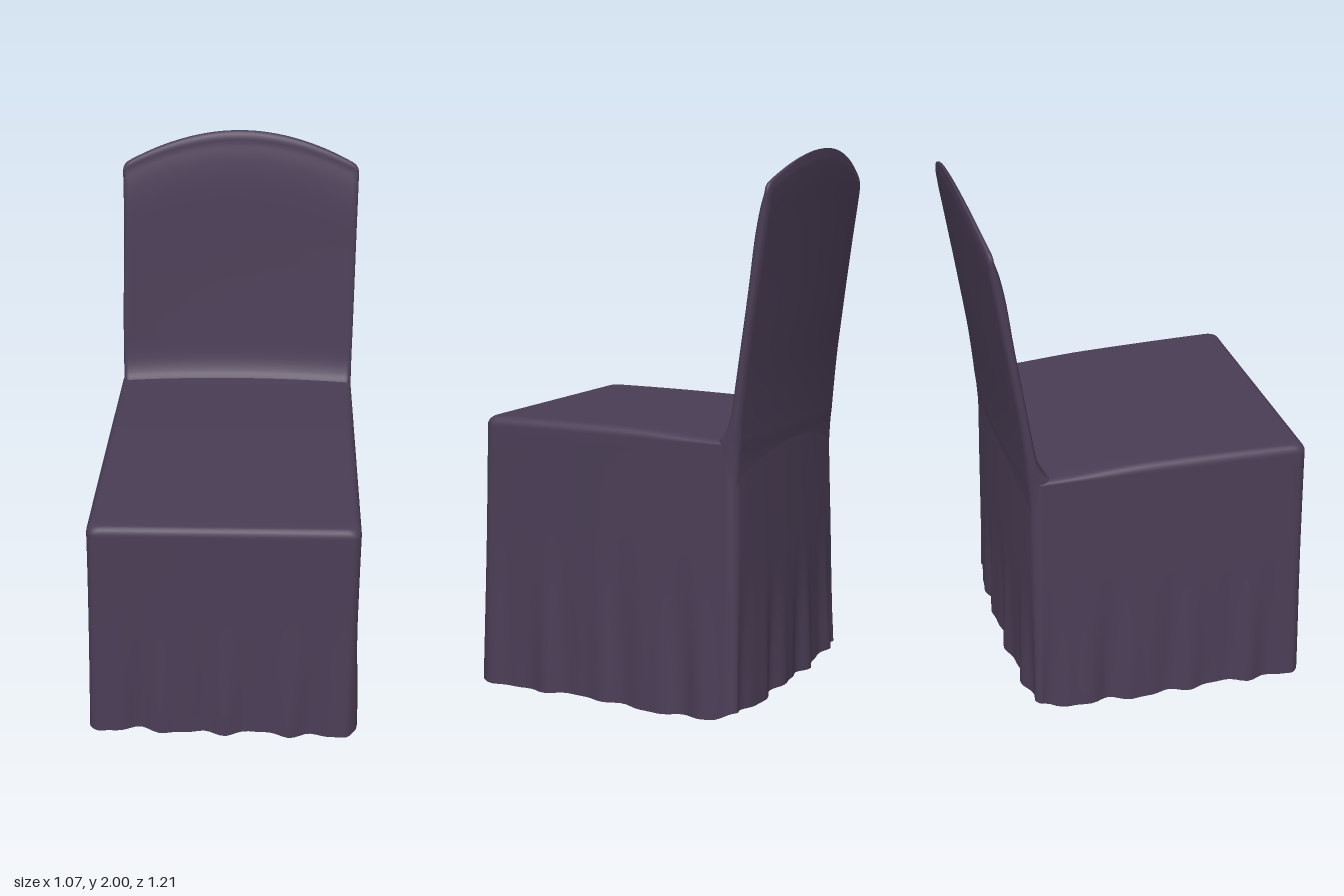
import * as THREE from 'three';

const smooth = THREE.MathUtils.smoothstep;
const lerp = THREE.MathUtils.lerp;

// Points (s, t) around a square of half-size 1 with elliptical corners, from +s towards +t
function roundedSquare(rs, rt, sideSteps, arcSteps) {
  const pts = [];
  const corners = [[1, 1], [-1, 1], [-1, -1], [1, -1]];
  corners.forEach(([cs, ct], k) => {
    for (let i = 0; i <= arcSteps; i++) {
      const a = (k + i / arcSteps) * Math.PI / 2;
      pts.push([cs * (1 - rs) + rs * Math.cos(a), ct * (1 - rt) + rt * Math.sin(a)]);
    }
    const [ns, nt] = corners[(k + 1) % 4];
    const from = pts[pts.length - 1];
    const a = (k + 1) * Math.PI / 2;
    const to = [ns * (1 - rs) + rs * Math.cos(a), nt * (1 - rt) + rt * Math.sin(a)];
    for (let i = 1; i < sideSteps; i++) {
      pts.push([lerp(from[0], to[0], i / sideSteps), lerp(from[1], to[1], i / sideSteps)]);
    }
  });
  return pts;
}

// Smooth skin over closed rings with the same number of points
function loft(rings) {
  const n = rings[0].length, index = [];
  for (let i = 0; i < rings.length - 1; i++) {
    for (let j = 0; j < n; j++) {
      const a = i * n + j, b = i * n + (j + 1) % n;
      index.push(a, a + n, b, b, a + n, b + n);
    }
  }
  const geo = new THREE.BufferGeometry();
  geo.setAttribute('position', new THREE.Float32BufferAttribute(rings.flat(2), 3));
  geo.setIndex(index);
  geo.computeVertexNormals();
  return geo;
}

// Point of the draped box: tapered plan, flared and pleated towards the hem
function drape(s, t, y, inset = 0) {
  const k = Math.pow(Math.max(0, 1 - y), 1.15);
  const front = (t + 1) / 2, side = (s + 1) / 2;
  const xMin = lerp(lerp(-0.425, -0.465, k), lerp(-0.495, -0.532, k), front) + inset;
  const xMax = lerp(lerp(0.488, 0.522, k), lerp(0.488, 0.503, k), front) - inset;
  const zMin = lerp(-0.45, -0.475, k) - lerp(0.033, 0.022, k) * (1 - s * s) + inset;
  const zMax = lerp(0.568, lerp(0.575, 0.598, side), k) - inset;
  let x = lerp(xMin, xMax, side), z = lerp(zMin, zMax, front);
  const fold = 0.011 * (1 - smooth(y, 0.02, 0.62));
  const onX = smooth(Math.abs(s), 0.9, 1), onZ = smooth(Math.abs(t), 0.9, 1);
  x += Math.sign(s) * onX * fold * (Math.sin(t * 15 + s) + 0.5 * Math.sin(t * 27 + 2 * s)) * (1 - onZ);
  z += Math.sign(t) * onZ * fold * (Math.sin(s * 14 + t) + 0.5 * Math.sin(s * 25 + 1)) * (1 - onX);
  return [x, y, z];
}

const plan = roundedSquare(0.07, 0.07, 44, 6);

// Hem height: slightly wavy, lifted at the back
const hemLift = (s, t) => 0.008 + 0.005 * Math.sin(s * 7 + t * 6) + 0.035 * smooth(-t, 0.82, 1);

function skirtGeometry() {
  const rings = [];
  for (let i = 0; i <= 26; i++) {
    const y = 0.99 * i / 26;
    rings.push(plan.map(([s, t]) => {
      const p = drape(s, t, y);
      p[1] += hemLift(s, t) * (1 - smooth(y, 0, 0.2));
      return p;
    }));
  }
  // Rounded upper edge, then the gently crowned seat
  const seatY = (z) => 1.018 + 0.008 * Math.cos((z - 0.25) * 2.6) - 0.012 * smooth(-z, 0, 0.4);
  for (let i = 1; i <= 6; i++) {
    const a = i / 6 * Math.PI / 2;
    rings.push(plan.map(([s, t]) => {
      const p = drape(s, t, 0.99, 0.03 * (1 - Math.cos(a)));
      p[1] = lerp(0.99, seatY(p[2]), Math.sin(a));
      return p;
    }));
  }
  for (let i = 9; i >= 0; i--) {
    rings.push(plan.map(([s, t]) => {
      const p = drape(s * i / 10, t * i / 10, 0.99, 0.03);
      p[1] = seatY(p[2]);
      return p;
    }));
  }
  return loft(rings);
}

function undersideGeometry() {
  const rings = [];
  for (let i = 0; i <= 6; i++) {
    const f = i / 6;
    rings.push(plan.map(([s, t]) => {
      const [x, , z] = drape(s, t, 0);
      return [x * f, lerp(0.012, hemLift(s, t), smooth(f, 0.6, 1)), z * f];
    }));
  }
  return loft(rings);
}

function backrestGeometry() {
  // Height, front z at the sides, rear z at the middle
  const profile = new THREE.CatmullRomCurve3([
    [0.8, -0.37, -0.476], [0.95, -0.37, -0.483], [1.0, -0.38, -0.488], [1.03, -0.402, -0.49], [1.08, -0.423, -0.494],
    [1.2, -0.443, -0.506], [1.4, -0.468, -0.532], [1.6, -0.489, -0.557], [1.8, -0.509, -0.583],
    [1.9, -0.527, -0.597], [1.96, -0.545, -0.604],
  ].map((p) => new THREE.Vector3(...p)));
  const section = roundedSquare(0.05, 0.8, 30, 6);
  const ring = (y, zFront, zBack, inset) => section.map(([s, t]) => {
    const up = smooth(y, 1.0, 1.9);
    const bow = lerp(0.026, 0.036, up);
    const x = lerp(lerp(-0.425, -0.406, up) + inset, lerp(0.489, 0.486, up) - inset, (s + 1) / 2);
    const z = lerp(zBack + bow, zFront, (t + 1) / 2) - bow * (1 - s * s);
    return [x, y - 0.11 * s * s * smooth(y, 1.2, 1.9), z];
  });
  const rings = [];
  for (let i = 0; i <= 40; i++) {
    const p = profile.getPoint(i / 40);
    rings.push(ring(p.x, p.y, p.z, 0));
  }
  // Rounded top edge closing to a line
  const mid = -0.568;
  for (let i = 1; i <= 7; i++) {
    const a = i / 7 * Math.PI / 2, c = Math.cos(a);
    rings.push(ring(1.96 + 0.04 * Math.sin(a), lerp(mid, -0.545, c), lerp(mid - 0.036, -0.604, c), 0.03 * (1 - c)));
  }
  return loft(rings);
}

export function createModel() {
  const fabric = new THREE.MeshStandardMaterial({ color: 0x4a3d55 });
  fabric.name = 'plum fabric';
  const model = new THREE.Group();
  model.name = 'coveredChair';
  const parts = { seatAndSkirt: skirtGeometry(), underside: undersideGeometry(), backrest: backrestGeometry() };
  for (const [name, geometry] of Object.entries(parts)) {
    const mesh = new THREE.Mesh(geometry, fabric);
    mesh.name = name;
    model.add(mesh);
  }
  return model;
}
